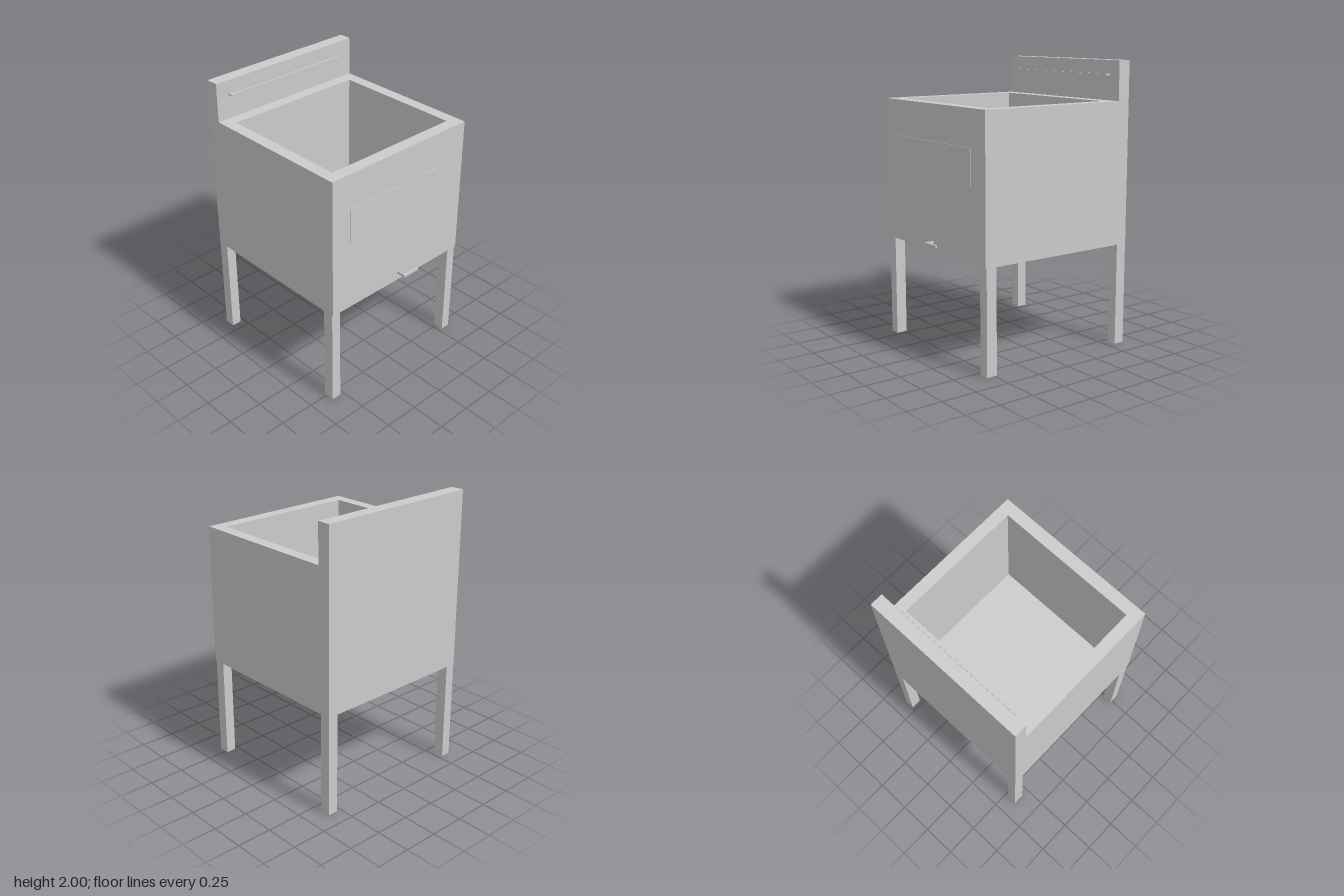
import * as THREE from 'three';

const material = new THREE.MeshStandardMaterial({ color: 0xcccccc });

// Box given by its extents on each axis
function box(name, [x0, x1], [y0, y1], [z0, z1]) {
  const mesh = new THREE.Mesh(new THREE.BoxGeometry(x1 - x0, y1 - y0, z1 - z0), material);
  mesh.position.set((x0 + x1) / 2, (y0 + y1) / 2, (z0 + z1) / 2);
  mesh.name = name;
  return mesh;
}

// Rectangle outline in plan, with z mapped to -y for an upward extrusion
function rectangle(Type, x0, x1, z0, z1) {
  return new Type([[x0, -z1], [x1, -z1], [x1, -z0], [x0, -z0]].map(([x, y]) => new THREE.Vector2(x, y)));
}

export function createModel() {
  const model = new THREE.Group();
  model.name = 'washBasin';
  const W = 0.603, back = -0.638, front = 0.569;
  const bottom = 0.725, floor = 0.8, rim = 1.725;

  // Basin: hollow walls on a closed floor slab
  const basin = new THREE.Group();
  basin.name = 'basin';
  const outline = rectangle(THREE.Shape, -W, W, back, front);
  outline.holes.push(rectangle(THREE.Path, -0.52, 0.52, -0.46, 0.481));
  const wallGeometry = new THREE.ExtrudeGeometry(outline, { depth: rim - floor, bevelEnabled: false });
  wallGeometry.rotateX(-Math.PI / 2);
  const walls = new THREE.Mesh(wallGeometry, material);
  walls.position.y = floor;
  walls.name = 'basinWalls';
  basin.add(walls, box('basinFloor', [-W, W], [bottom, floor], [back, front]));
  model.add(basin);

  // Raised back panel
  model.add(box('backPanel', [-W, W], [rim, 2], [back, -0.545]));

  // Towel rail with two end brackets
  const rail = new THREE.Group();
  rail.name = 'towelRail';
  rail.add(box('railBar', [-0.51, 0.51], [1.895, 1.907], [-0.524, -0.512]));
  for (const s of [-1, 1]) {
    rail.add(box('railBracket', [s * 0.505 - 0.005, s * 0.505 + 0.005], [1.895, 1.907], [-0.545, -0.524]));
  }
  model.add(rail);

  // Thin plate on the front face
  model.add(box('frontPlate', [-0.45, 0.45], [1.23, 1.475], [front, 0.574]));

  // L-shaped drain handle
  const handle = new THREE.Group();
  handle.name = 'drainHandle';
  handle.add(
    box('handleStem', [-0.004, 0.004], [0.778, 0.795], [front, 0.626]),
    box('handleGrip', [-0.004, 0.132], [0.778, 0.795], [0.626, 0.638])
  );
  model.add(handle);

  // Four square legs
  for (const s of [-1, 1]) {
    for (const [name, z0, z1] of [['frontLeg', 0.482, 0.56], ['backLeg', back, -0.56]]) {
      model.add(box(name, [s * 0.566 - 0.036, s * 0.566 + 0.036], [0, bottom], [z0, z1]));
    }
  }
  return model;
}
